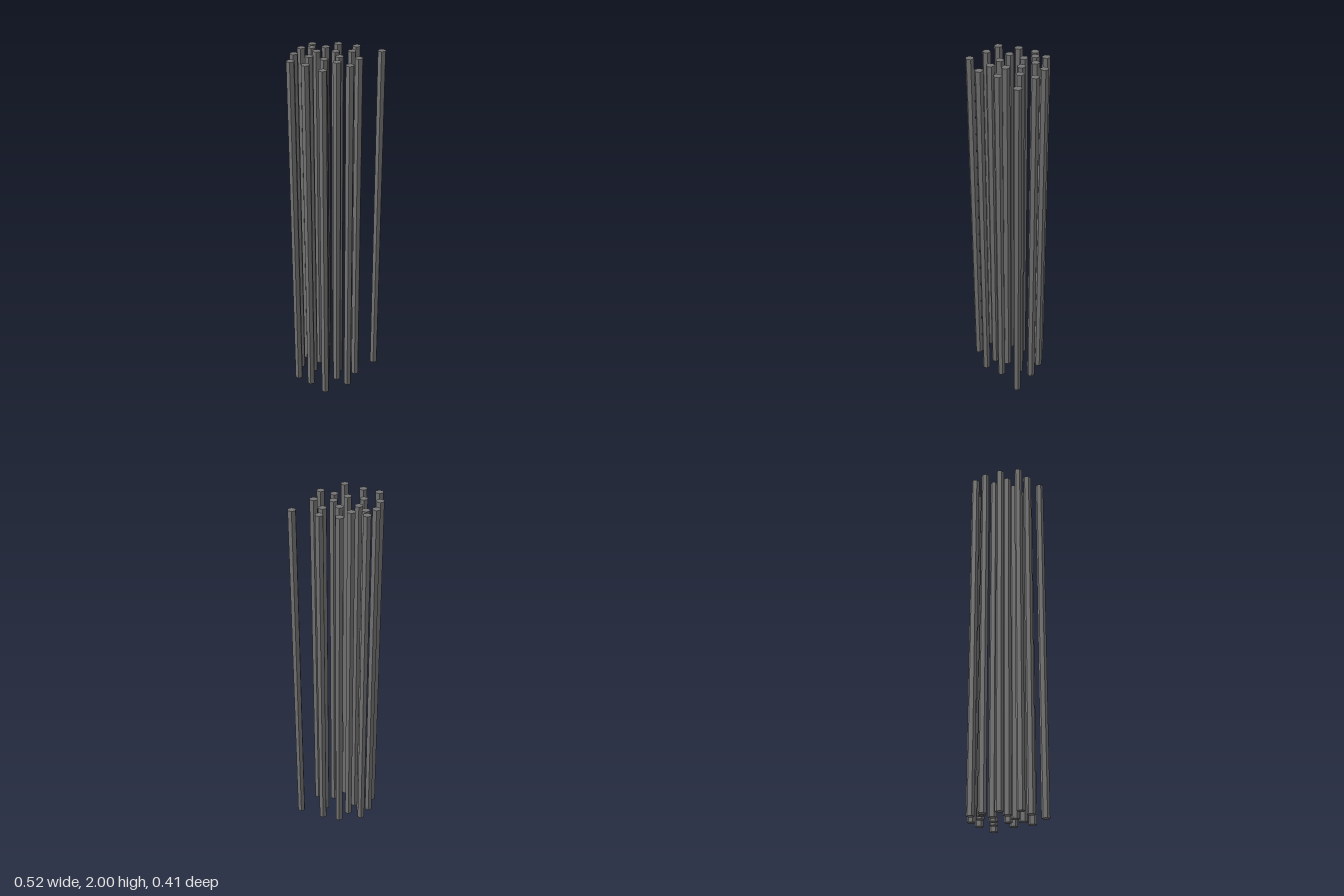
import * as THREE from 'three';

// Rod centres on the ground plane: [x, z]
const CENTRES = [
  [-0.051, -0.188], [-0.124, -0.152], [-0.073, -0.138], [-0.003, -0.119],
  [0.074, -0.141], [-0.188, -0.084], [-0.069, -0.077], [0.147, -0.072],
  [0.019, -0.040], [-0.131, -0.020], [0.096, -0.012], [-0.239, 0.009],
  [-0.076, 0.044], [0.009, 0.037], [-0.189, 0.084], [-0.032, 0.104],
  [0.088, 0.097], [0.237, 0.040], [-0.137, 0.183], [0.009, 0.171],
];
const RADIUS = 0.0225;
const HEIGHT = 2;

// Hexagonal rod with corners on the x axis, leaning very slightly
function makeRodGeometry() {
  const geometry = new THREE.CylinderGeometry(RADIUS, RADIUS, HEIGHT, 6, 1, false, Math.PI / 6);
  const lean = new THREE.Matrix4().set(
    1, -0.0013, 0, 0,
    0, 1, 0, HEIGHT / 2,
    0, 0.0008, 1, 0,
    0, 0, 0, 1,
  );
  return geometry.applyMatrix4(lean);
}

export function createModel() {
  const bundle = new THREE.Group();
  bundle.name = 'rodBundle';
  const geometry = makeRodGeometry();
  const material = new THREE.MeshStandardMaterial({ color: 0x747474, flatShading: true });

  // Scattered upright rods
  CENTRES.forEach(([x, z], i) => {
    const rod = new THREE.Mesh(geometry, material);
    rod.name = `rod${i + 1}`;
    rod.position.set(x, 0, z);
    bundle.add(rod);
  });
  return bundle;
}
